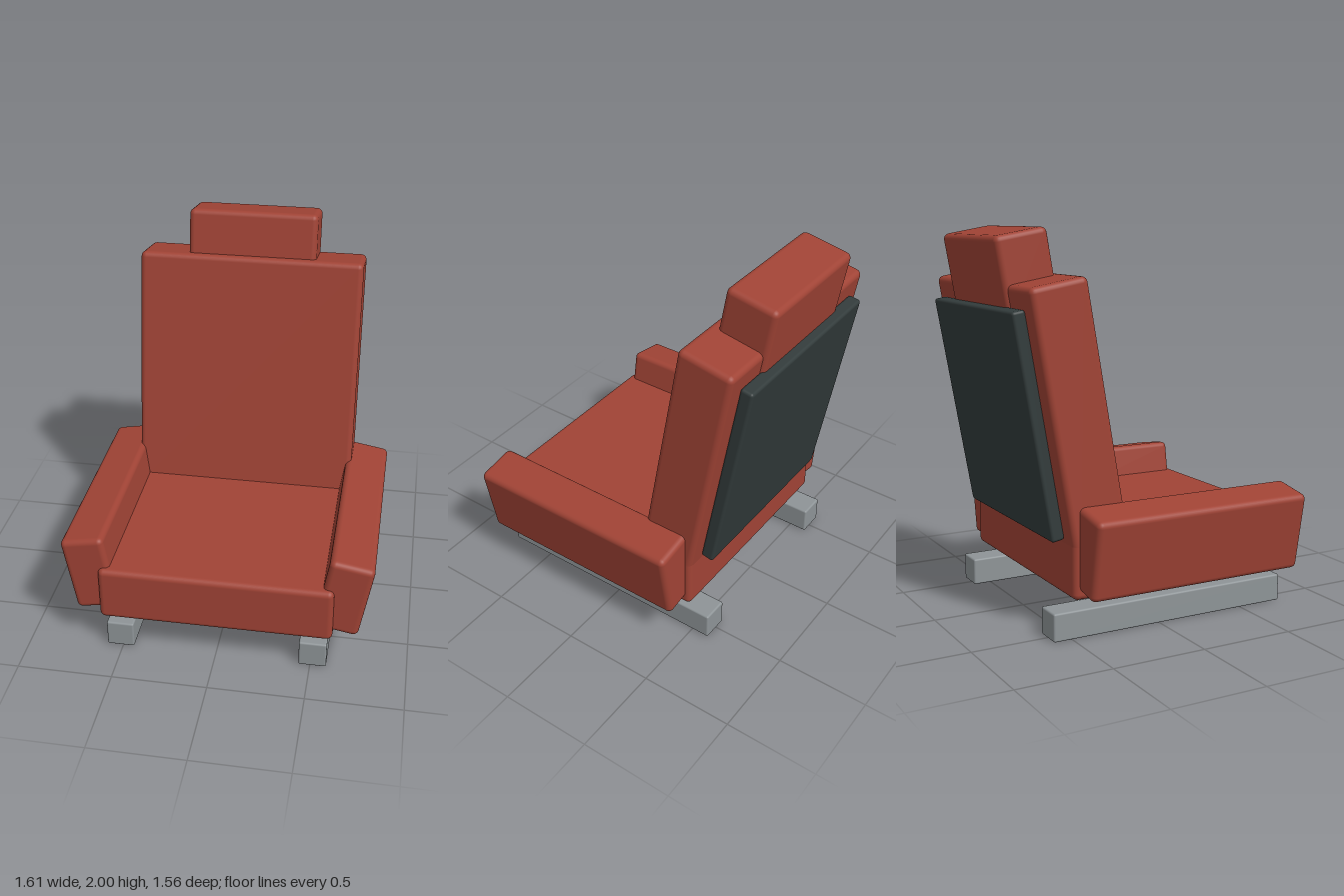
import * as THREE from 'three';
import { RoundedBoxGeometry } from 'three/addons/geometries/RoundedBoxGeometry.js';

const TILT = THREE.MathUtils.degToRad(10);

export function createModel() {
  const model = new THREE.Group();
  model.name = 'recliningSeat';

  const makeMaterial = (name, color) => {
    const m = new THREE.MeshStandardMaterial({ color });
    m.name = name;
    return m;
  };
  const upholstery = makeMaterial('redUpholstery', 0xa04335);
  const shell = makeMaterial('darkShell', 0x323b3b);
  const metal = makeMaterial('greyMetal', 0x8e9497);

  // Adds one softly rounded block
  const block = (name, material, size, position, radius, rotX = 0, rotZ = 0) => {
    const mesh = new THREE.Mesh(new RoundedBoxGeometry(...size, 3, radius), material);
    mesh.name = name;
    mesh.position.set(...position);
    mesh.rotation.set(rotX, 0, rotZ);
    model.add(mesh);
  };

  // Seat cushion
  block('seatCushion', upholstery, [1.22, 0.3, 1.28], [0, 0.35, 0.14], 0.03);

  // Reclined back, headrest and rear panel share one tilt
  block('backrest', upholstery, [1.22, 1.36, 0.307], [0, 1.083, -0.452], 0.03, -TILT);
  block('headrest', upholstery, [0.7, 0.4, 0.282], [0, 1.786, -0.609], 0.03, -TILT);
  block('backPanel', shell, [1.03, 1.15, 0.07], [0, 1.052, -0.637], 0.015, -TILT);

  // Armrests leaning outward, and floor rails
  for (const [side, s] of [['left', 1], ['right', -1]]) {
    block(side + 'Armrest', upholstery, [0.23, 0.42, 1.22], [s * 0.66, 0.446, 0.14], 0.03, 0, -s * TILT);
    block(side + 'Rail', metal, [0.145, 0.145, 1.35], [s * 0.512, 0.0725, 0.075], 0.01);
  }

  return model;
}
